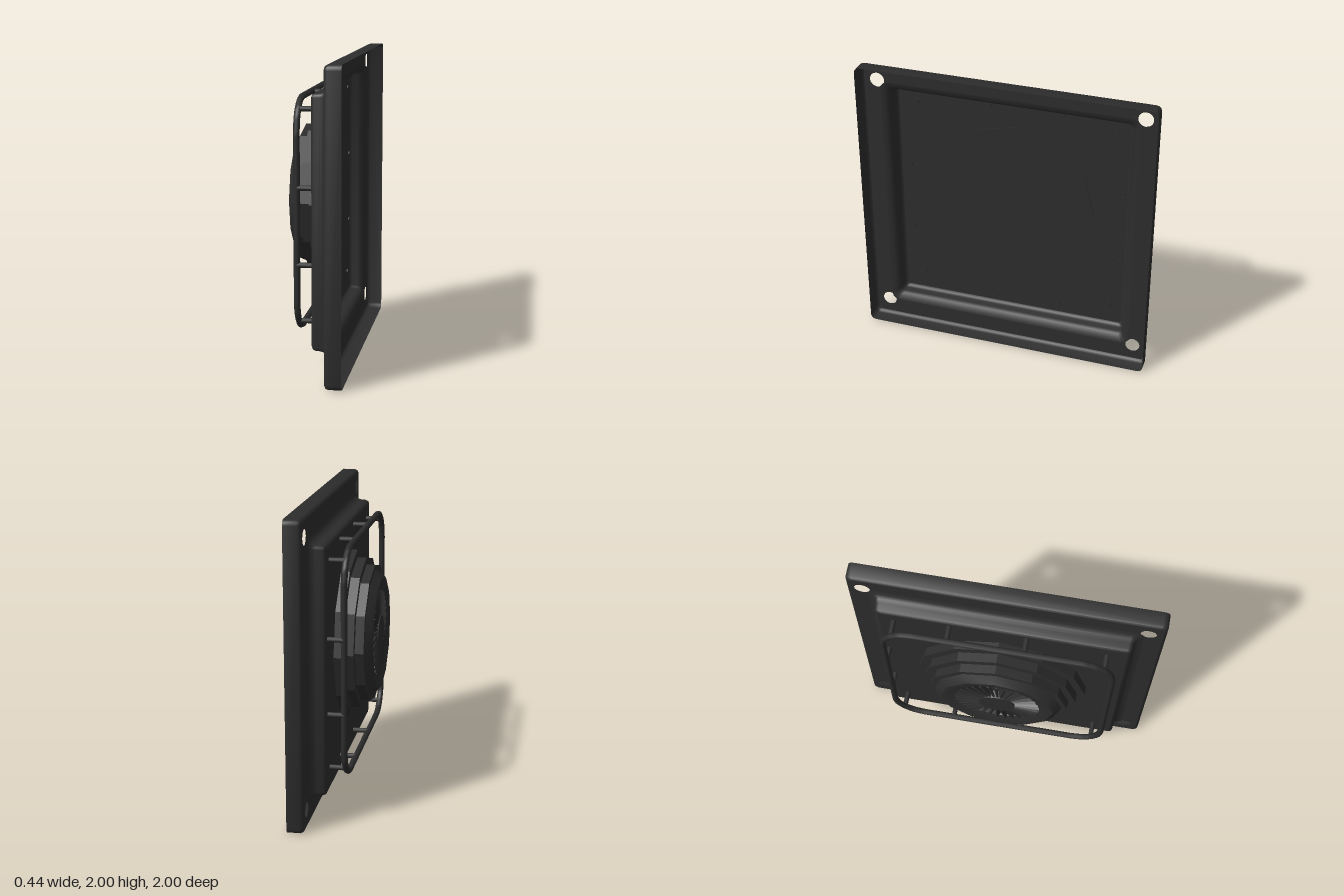
import * as THREE from 'three';
import { toCreasedNormals } from 'three/addons/utils/BufferGeometryUtils.js';

// Rounded square outline, counter-clockwise, centred on the origin
function outline(half, radius, steps = 3) {
  const pts = [];
  const c = half - radius;
  [[1, 1], [-1, 1], [-1, -1], [1, -1]].forEach(([sx, sy], q) => {
    for (let i = 0; i <= steps; i++) {
      const a = (q + i / steps) * Math.PI / 2;
      pts.push(new THREE.Vector2(sx * c + radius * Math.cos(a), sy * c + radius * Math.sin(a)));
    }
  });
  return pts;
}

// Skin over a stack of rounded squares given as [half, depth, radius]
function squareLoft(sections) {
  const pos = [], idx = [];
  sections.forEach(([h, z, r]) => outline(h, r).forEach(p => pos.push(p.x, p.y, z)));
  const n = pos.length / 3 / sections.length;
  for (let s = 0; s < sections.length - 1; s++) {
    for (let i = 0; i < n; i++) {
      const a = s * n + i, b = s * n + (i + 1) % n;
      idx.push(a, b, a + n, b, b + n, a + n);
    }
  }
  const g = new THREE.BufferGeometry();
  g.setAttribute('position', new THREE.Float32BufferAttribute(pos, 3));
  g.setIndex(idx);
  return toCreasedNormals(g, 0.7);
}

export function createModel() {
  const model = new THREE.Group();
  model.name = 'ventPanel';
  const charcoal = new THREE.MeshStandardMaterial({ color: 0x2d2d2d, side: THREE.DoubleSide });
  charcoal.name = 'charcoal';

  // Built facing +z, then turned so that the fan side faces -x
  const body = new THREE.Group();
  body.name = 'body';
  body.position.y = 1;
  body.rotation.y = -Math.PI / 2;
  model.add(body);
  const add = (name, geometry, parent = body) => {
    const m = new THREE.Mesh(geometry, charcoal);
    m.name = name;
    parent.add(m);
    return m;
  };

  // Pressed tray: rim, flange with bolt holes, raised step and flat panel
  add('trayRim', squareLoft([[1, -0.22, 0.035], [1, -0.135, 0.035], [0.993, -0.118, 0.03], [0.98, -0.11, 0.025]]));
  const flange = new THREE.Shape(outline(0.98, 0.025));
  flange.holes.push(new THREE.Path(outline(0.87, 0.05)));
  for (const x of [-0.9, 0.89]) {
    for (const y of [-0.87, 0.88]) {
      flange.holes.push(new THREE.Path().absarc(x, y, 0.05, 0, Math.PI * 2, true));
    }
  }
  add('trayFlange', new THREE.ShapeGeometry(flange, 8)).position.z = -0.11;
  add('trayStep', squareLoft([
    [0.87, -0.11, 0.05], [0.842, -0.104, 0.04], [0.82, -0.085, 0.03],
    [0.812, -0.06, 0.025], [0.81, -0.025, 0.025], [0.803, -0.008, 0.02], [0.788, 0, 0.015],
  ]));
  add('trayPanel', new THREE.ShapeGeometry(new THREE.Shape(outline(0.788, 0.015))));

  // Twelve-sided stepped housing with a sunken well for the fan
  const fan = new THREE.Group();
  fan.name = 'fan';
  fan.position.y = 0.056;
  fan.rotation.z = THREE.MathUtils.degToRad(2);
  body.add(fan);
  const profile = [
    [0, -0.006], [0.568, -0.006], [0.568, 0.058], [0.515, 0.058], [0.515, 0.118], [0.467, 0.118],
    [0.467, 0.175], [0.43, 0.175], [0.38, 0.22], [0.35, 0.22], [0.28, 0.198], [0.27, 0.17], [0, 0.17],
  ].map(p => new THREE.Vector2(...p));
  add('fanHousing', toCreasedNormals(new THREE.LatheGeometry(profile, 12).rotateX(Math.PI / 2), 0.4), fan);

  // Hub and radial blades
  add('fanHub', new THREE.CylinderGeometry(0.12, 0.135, 0.05, 24).rotateX(Math.PI / 2), fan).position.z = 0.192;
  const blade = new THREE.BoxGeometry(0.17, 0.014, 0.045).rotateX(0.5).translate(0.2, 0, 0.19);
  for (let i = 0; i < 32; i++) {
    add('fanBlade', blade, fan).rotation.z = i / 32 * Math.PI * 2;
  }

  // Guard rail: round bar bent into a rounded square
  const guard = new THREE.Group();
  guard.name = 'guard';
  guard.position.set(-0.016, 0.024, 0);
  body.add(guard);
  const path = new THREE.CurvePath();
  const corners = outline(0.738, 0.2, 4).map(p => new THREE.Vector3(p.x, p.y, 0.104));
  corners.forEach((p, i) => path.add(new THREE.LineCurve3(p, corners[(i + 1) % corners.length])));
  add('guardRail', new THREE.TubeGeometry(path, 160, 0.021, 8, true), guard);

  // Twelve posts holding the rail off the panel
  const post = new THREE.CylinderGeometry(0.017, 0.017, 0.115, 10).rotateX(Math.PI / 2).translate(0, 0, 0.0475);
  const spots = [];
  for (const s of [-1, 1]) {
    for (const t of [-1, 1]) spots.push([s * 0.677, t * 0.677]);
    for (const z of [-0.32, 0.17]) spots.push([z, s * 0.733]);
    for (const y of [-0.3, 0.19]) spots.push([s * 0.742, y]);
  }
  spots.forEach(([x, y]) => add('guardPost', post, guard).position.set(x, y, 0));

  return model;
}
